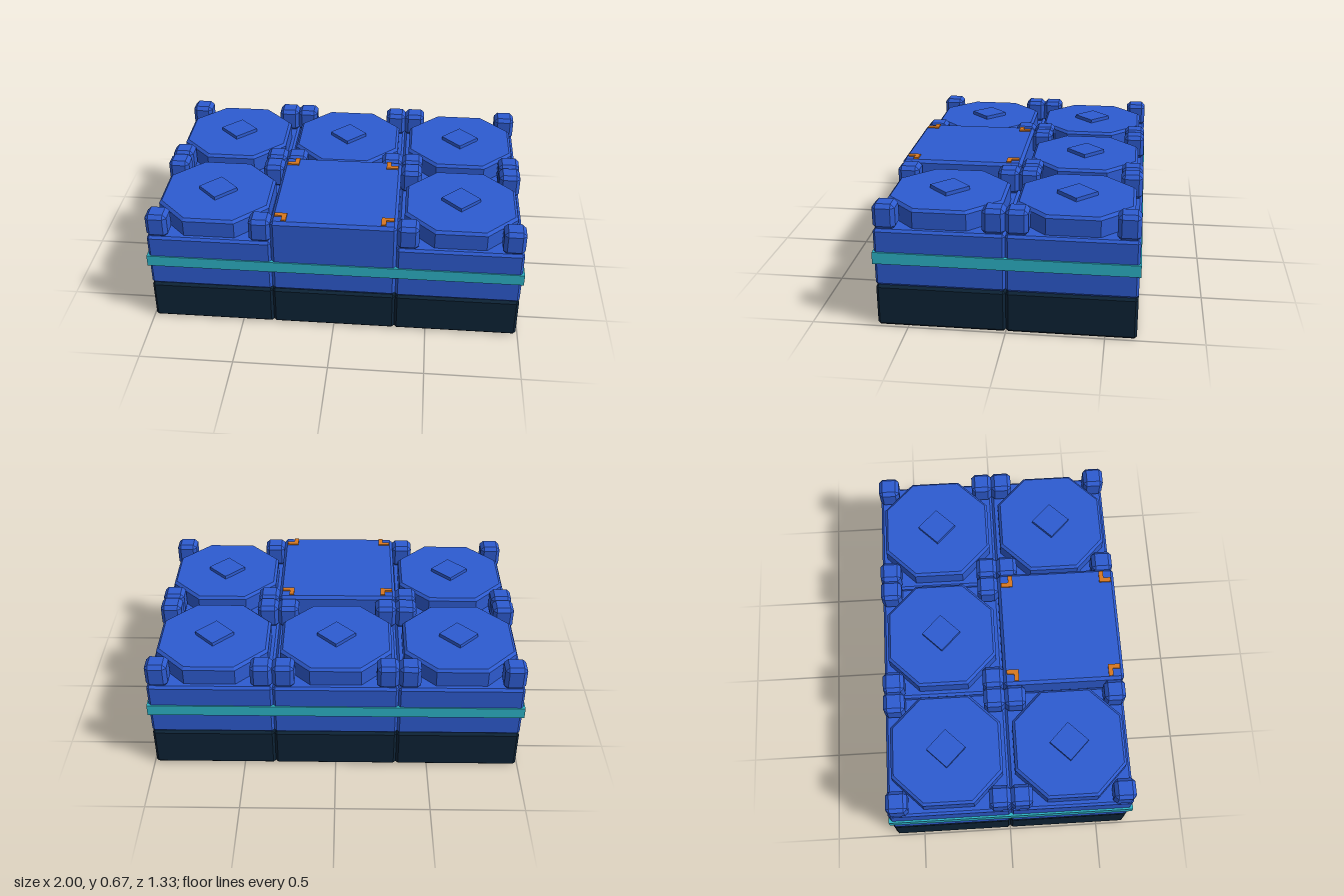
import * as THREE from 'three';
import { ConvexGeometry } from 'three/addons/geometries/ConvexGeometry.js';

const material = (name, color) => {
  const m = new THREE.MeshStandardMaterial({ color });
  m.name = name;
  return m;
};

// Box with chamfered edges, centred on x and z, spanning y0 to y1
function chamferBox(w, d, y0, y1, c) {
  const pts = [];
  const h = [w / 2, (y1 - y0) / 2, d / 2];
  for (const sx of [-1, 1]) for (const sy of [-1, 1]) for (const sz of [-1, 1]) {
    for (let full = 0; full < 3; full++) {
      const p = h.map((v, i) => (i === full ? v : v - c));
      pts.push(new THREE.Vector3(sx * p[0], sy * p[1] + (y0 + y1) / 2, sz * p[2]));
    }
  }
  return new ConvexGeometry(pts);
}

// Eight-sided pad with straight walls and a slim bevel on top
function octagonPad(r, flat, y0, y1, bevel) {
  const pts = [];
  for (const [y, s] of [[y0, 1], [y1 - bevel, 1], [y1, 1 - bevel / r]]) {
    for (const sx of [-1, 1]) for (const sz of [-1, 1]) {
      pts.push(new THREE.Vector3(sx * r * s, y, sz * flat * s));
      pts.push(new THREE.Vector3(sx * flat * s, y, sz * r * s));
    }
  }
  return new ConvexGeometry(pts);
}

export function createModel() {
  const blue = material('blue', 0x2d5bd0);
  const navy = material('darkNavy', 0x0d2336);
  const teal = material('teal', 0x2db4c8);
  const orange = material('orange', 0xd8771f);

  const model = new THREE.Group();
  const add = (parent, name, geometry, mat, x = 0, y = 0, z = 0) => {
    const mesh = new THREE.Mesh(geometry, mat);
    mesh.name = name;
    mesh.position.set(x, y, z);
    parent.add(mesh);
    return mesh;
  };

  const cell = 0.66;
  const baseGeo = chamferBox(cell, cell, 0, 0.226, 0.013);
  const bodyGeo = chamferBox(cell, cell, 0.226, 0.533, 0.013);
  const tallGeo = chamferBox(cell, cell, 0.226, 0.664, 0.016);
  const padGeo = octagonPad(0.298, 0.135, 0.53, 0.635, 0.014);
  const postGeo = chamferBox(0.115, 0.115, 0.53, 0.664, 0.02);
  const diamondGeo = new THREE.BoxGeometry(0.148, 0.03, 0.148);
  diamondGeo.rotateY(Math.PI / 4);

  // Three by two grid of cells
  for (const col of [-1, 0, 1]) for (const row of [-1, 1]) {
    const unit = new THREE.Group();
    unit.name = 'cell';
    unit.position.set(col * cell, 0, row * cell / 2);
    model.add(unit);
    add(unit, 'baseBlock', baseGeo, navy);

    if (col === 0 && row === 1) {
      // Plain raised block with orange corner marks
      add(unit, 'raisedBlock', tallGeo, blue);
      for (const sx of [-1, 1]) for (const sz of [-1, 1]) {
        const mark = new THREE.Group();
        mark.name = 'cornerMark';
        unit.add(mark);
        add(mark, 'markAcross', new THREE.BoxGeometry(0.065, 0.009, 0.025), orange,
          sx * 0.279, 0.6675, sz * 0.258);
        add(mark, 'markAlong', new THREE.BoxGeometry(0.025, 0.009, 0.04), orange,
          sx * 0.259, 0.6675, sz * 0.2905);
      }
      continue;
    }

    // Body with octagonal pad, diamond and four corner posts
    add(unit, 'bodyBlock', bodyGeo, blue);
    add(unit, 'octagonPad', padGeo, blue);
    add(unit, 'diamond', diamondGeo, blue, 0, 0.64, 0);
    for (const sx of [-1, 1]) for (const sz of [-1, 1]) {
      add(unit, 'cornerPost', postGeo, blue, sx * 0.2725, 0, sz * 0.2725);
    }
  }

  // Band around the whole body
  add(model, 'band', new THREE.BoxGeometry(2, 0.062, 1.334), teal, 0, 0.381, 0);
  return model;
}
